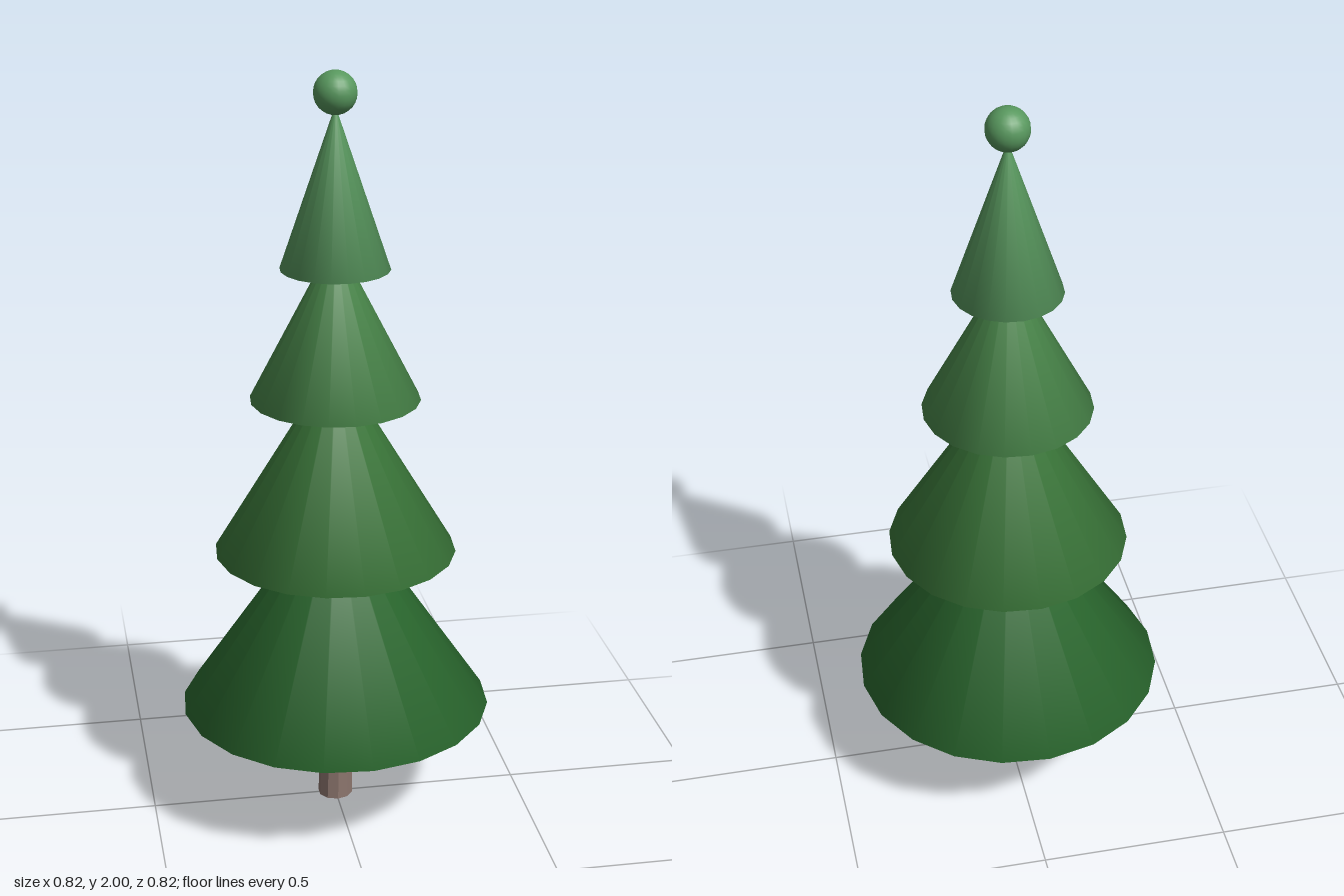
import * as THREE from 'three';

const SIDES = 20;
const TURN = 0.073; // slight turn of every tier about the trunk

function addMesh(group, name, geometry, color) {
  const mesh = new THREE.Mesh(geometry, new THREE.MeshStandardMaterial({ color }));
  mesh.name = name;
  group.add(mesh);
  return mesh;
}

// Closed cone whose normals flow smoothly from the slope into the underside
function tierGeometry(radius, tipRadius, bottom, top) {
  const height = top - bottom;
  const geometry = new THREE.CylinderGeometry(tipRadius, radius, height, SIDES, 1, true, TURN);
  geometry.translate(0, bottom + height / 2, 0);

  // The base ring averages two slope faces and the underside
  const normal = geometry.attributes.normal;
  const base = SIDES + 1;
  const n = new THREE.Vector3();
  for (let i = base; i < 2 * base; i++) {
    n.fromBufferAttribute(normal, i).multiplyScalar(2);
    n.y -= 1;
    n.normalize();
    normal.setXYZ(i, n.x, n.y, n.z);
  }

  // Underside and tip share the ring vertices
  const index = Array.from(geometry.index.array);
  for (let i = 1; i < SIDES - 1; i++) {
    index.push(base, base + i + 1, base + i);
    index.push(0, i, i + 1);
  }
  geometry.setIndex(index);
  geometry.clearGroups();
  return geometry;
}

export function createModel() {
  const tree = new THREE.Group();
  tree.name = 'firTree';

  // Tapered trunk, leaning very slightly
  const trunk = new THREE.CylinderGeometry(0.04, 0.047, 0.36, 10);
  trunk.translate(0, 0.18, 0);
  const p = trunk.attributes.position;
  for (let i = 0; i < p.count; i++) {
    p.setX(i, p.getX(i) + p.getY(i) * 0.018);
    p.setZ(i, p.getZ(i) + p.getY(i) * 0.01);
  }
  trunk.computeVertexNormals();
  addMesh(tree, 'trunk', trunk, 0x8d766e).material.flatShading = true;

  // Branch tiers: base radius, tip radius, bottom, top, colour
  const tiers = [
    [0.413, 0.02, 0.29, 0.87, 0x2b6a2f],
    [0.318, 0.015, 0.735, 1.24, 0x3b783a],
    [0.221, 0.012, 1.155, 1.56, 0x49874a],
    [0.141, 0.008, 1.5, 1.89, 0x58985e],
  ];
  tiers.forEach(([radius, tip, bottom, top, color], i) => {
    addMesh(tree, `branchTier${i + 1}`, tierGeometry(radius, tip, bottom, top), color);
  });

  // Ball on the tip
  const ball = new THREE.SphereGeometry(0.055, 20, 14);
  addMesh(tree, 'topBall', ball, 0x58985e).position.y = 1.945;

  return tree;
}
